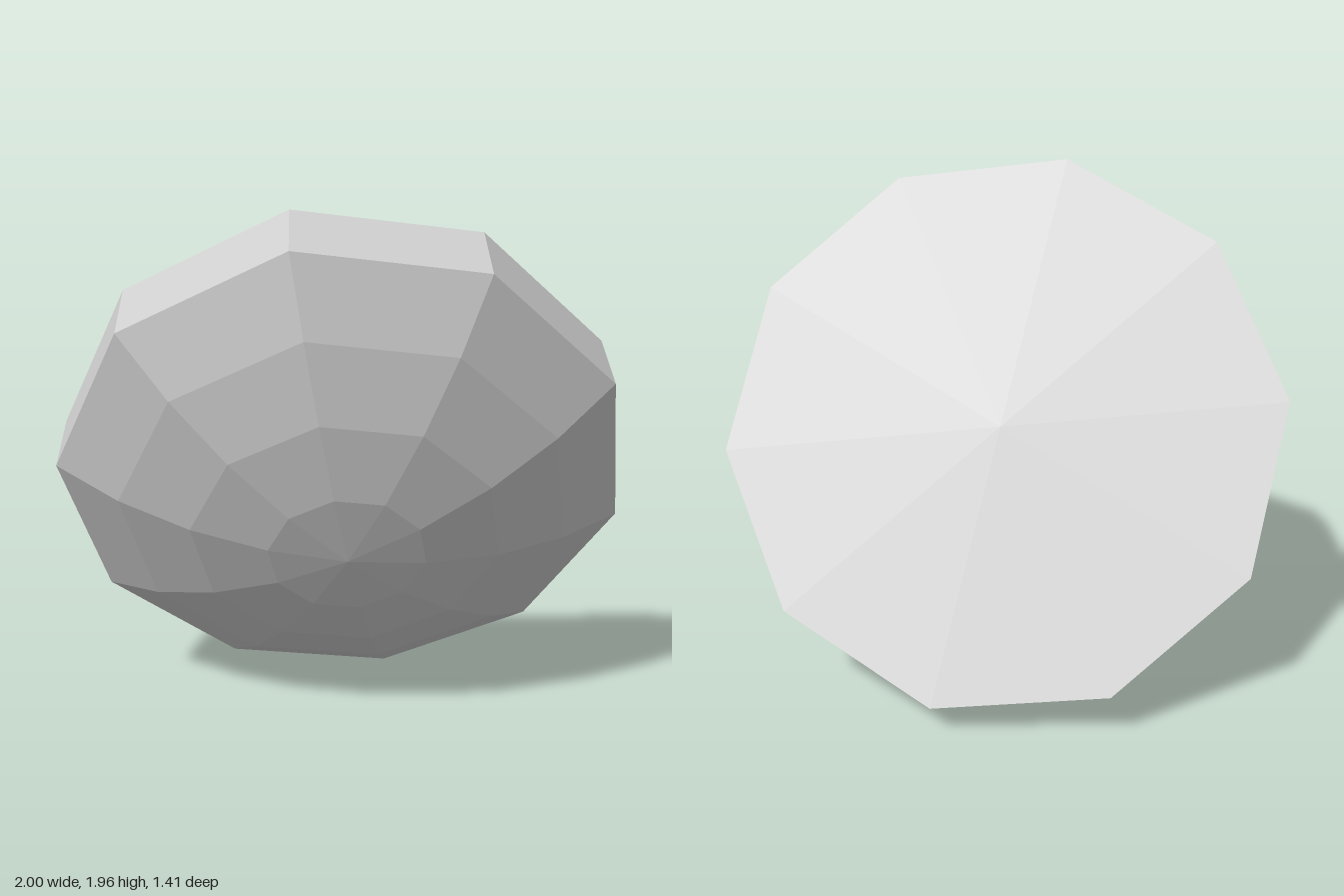
import * as THREE from 'three';

const SIDES = 10;
const RADIUS = 1.064;      // rim radius
const RIM = 0.25;          // thickness of the straight rim
const DOME = 0.36;         // height of the dome above the rim
const RINGS = 4;

// Faceted solid of revolution from [radius, height] points, bottom to top
function facetedLathe(name, points, material) {
  const profile = points.map(([r, y]) => new THREE.Vector2(r, y));
  const geometry = new THREE.LatheGeometry(profile, SIDES).toNonIndexed();
  geometry.computeVertexNormals();
  const mesh = new THREE.Mesh(geometry, material);
  mesh.name = name;
  return mesh;
}

export function createModel() {
  const grey = new THREE.MeshStandardMaterial({ color: 0xcccccc });
  grey.name = 'light grey';

  const model = new THREE.Group();
  model.name = 'domedDisc';

  // Flat back and straight ten-sided rim
  model.add(facetedLathe('backAndRim', [[0, 0], [RADIUS, 0], [RADIUS, RIM]], grey));

  // Shallow spherical cap on the front, in equal angular steps
  const sphere = (RADIUS ** 2 + DOME ** 2) / (2 * DOME);
  const maxAngle = Math.asin(RADIUS / sphere);
  const cap = [];
  for (let i = RINGS; i >= 0; i--) {
    const a = (maxAngle * i) / RINGS;
    cap.push([sphere * Math.sin(a), RIM + DOME - sphere * (1 - Math.cos(a))]);
  }
  model.add(facetedLathe('frontDome', cap, grey));

  // Tilt: the dome axis points forward, down and to the left; one corner is uppermost
  const axis = new THREE.Vector3(0.316, -0.477, 0.82).normalize();
  const side = new THREE.Vector3().crossVectors(axis, new THREE.Vector3(0, 0.865, 0.503)).normalize();
  const corner = new THREE.Vector3().crossVectors(side, axis);
  model.quaternion.setFromRotationMatrix(new THREE.Matrix4().makeBasis(side, axis, corner));
  model.position.set(-0.04, 1.04, -0.105);

  const group = new THREE.Group();
  group.add(model);
  return group;
}
